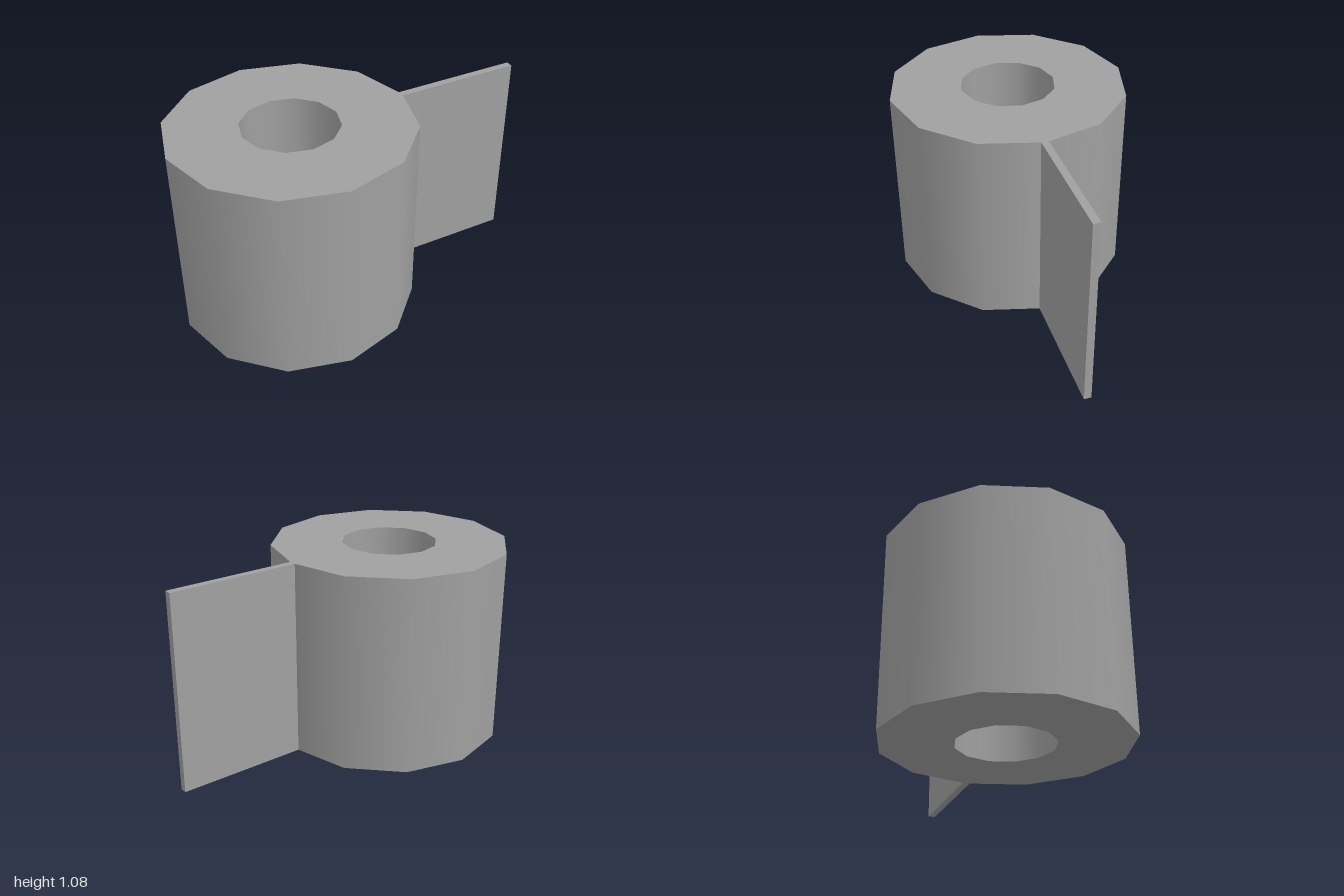
import * as THREE from 'three';

const HEIGHT = 1.08, OUTER = 0.65, INNER = 0.26, SIDES = 12;

export function createModel() {
  const grey = new THREE.MeshStandardMaterial({ color: 0xa0a0a0 });
  grey.name = 'grey';
  const model = new THREE.Group();
  model.name = 'rollWithFlap';

  const add = (parent, name, geometry) => {
    const mesh = new THREE.Mesh(geometry, grey);
    mesh.name = name;
    parent.add(mesh);
    return mesh;
  };
  // Smooth-shaded wall; an upward profile faces out, a downward one faces in
  const wall = (radius, from, to) => new THREE.LatheGeometry(
    [new THREE.Vector2(radius, from), new THREE.Vector2(radius, to)], SIDES);

  // Twelve-sided hollow roll
  const roll = new THREE.Group();
  roll.name = 'roll';
  roll.position.x = -0.35;
  model.add(roll);
  add(roll, 'outerWall', wall(OUTER, 0, HEIGHT));
  add(roll, 'innerWall', wall(INNER, HEIGHT, 0));

  // Flat ring ends
  const top = add(roll, 'topEnd', new THREE.RingGeometry(INNER, OUTER, SIDES));
  top.rotation.x = -Math.PI / 2;
  top.position.y = HEIGHT;
  const bottom = add(roll, 'bottomEnd', new THREE.RingGeometry(INNER, OUTER, SIDES));
  bottom.rotation.x = Math.PI / 2;

  // Thin loose flap on the left side
  const flap = add(model, 'flap', new THREE.BoxGeometry(0.706, HEIGHT, 0.04));
  flap.position.set(0.647, HEIGHT / 2, 0);

  return model;
}
